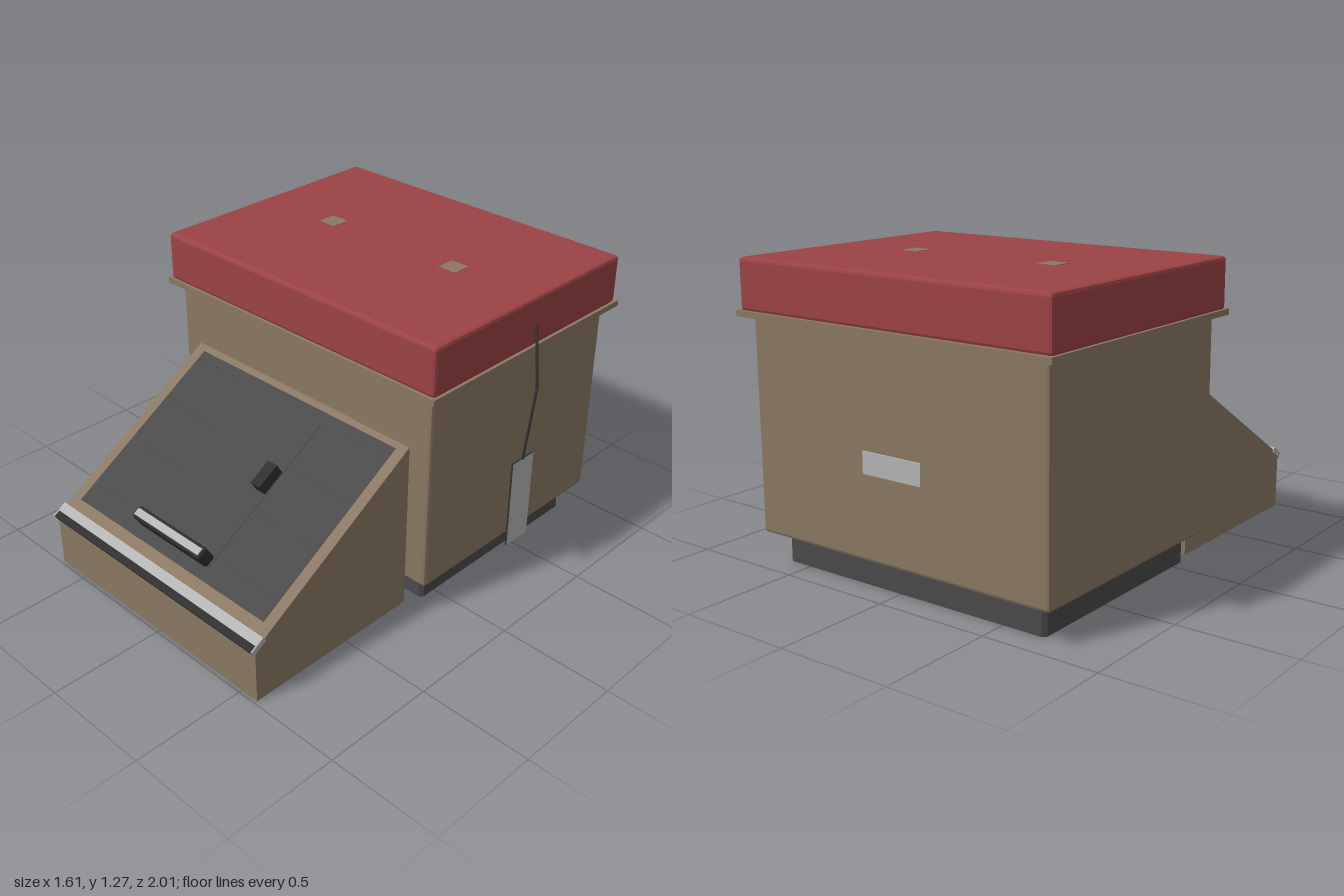
import * as THREE from 'three';
import { RoundedBoxGeometry } from 'three/addons/geometries/RoundedBoxGeometry.js';

export function createModel() {
  const model = new THREE.Group();
  model.name = 'roofHousing';
  const material = (name, color, side = THREE.FrontSide) => {
    const m = new THREE.MeshStandardMaterial({ color, side });
    m.name = name;
    return m;
  };
  const tan = material('tan', 0x8a7863);
  const red = material('red', 0x9c4345);
  const charcoal = material('charcoal', 0x4a4a4a);
  const black = material('black', 0x303030);
  const silver = material('silver', 0xb4b4b4);

  const add = (parent, name, geometry, mat) => {
    const mesh = new THREE.Mesh(geometry, mat);
    mesh.name = name;
    parent.add(mesh);
    return mesh;
  };
  // Box given by its limits on each axis, with an optional bevel
  const box = (parent, name, mat, [x0, x1], [y0, y1], [z0, z1], bevel = 0) => {
    const size = [x1 - x0, y1 - y0, z1 - z0];
    const g = bevel ? new RoundedBoxGeometry(...size, 1, bevel) : new THREE.BoxGeometry(...size);
    if (bevel) g.computeVertexNormals();
    g.translate((x0 + x1) / 2, (y0 + y1) / 2, (z0 + z1) / 2);
    return add(parent, name, g, mat);
  };

  // Main housing, rim and lid
  box(model, 'body', tan, [-0.76, 0.69], [0.13, 1.035], [-0.95, 0.15], 0.014);
  box(model, 'rim', tan, [-0.805, 0.735], [1.03, 1.055], [-1, 0.195]);
  box(model, 'lid', red, [-0.795, 0.725], [1.05, 1.265], [-0.985, 0.185], 0.015);
  for (const x of [-0.38, 0.308]) {
    box(model, 'lidPad', tan, [x - 0.044, x + 0.044], [1.263, 1.267], [-0.45, -0.365]);
  }
  box(model, 'rearPlate', silver, [-0.18, 0.11], [0.485, 0.575], [-0.957, -0.949]);

  // Hollow plinth with a recessed floor
  const rect = (path, x0, x1, y0, y1, c) => {
    const pts = [[x0 + c, y0], [x1 - c, y0], [x1, y0 + c], [x1, y1 - c],
      [x1 - c, y1], [x0 + c, y1], [x0, y1 - c], [x0, y0 + c]];
    return path.setFromPoints(pts.map(([x, y]) => new THREE.Vector2(x, y)));
  };
  const ring = rect(new THREE.Shape(), -0.69, 0.62, -0.08, 0.88, 0.015);
  ring.holes.push(rect(new THREE.Path(), -0.64, 0.57, -0.03, 0.83, 0.01));
  const ringGeo = new THREE.ExtrudeGeometry(ring, { depth: 0.14, bevelEnabled: false });
  add(model, 'plinth', ringGeo.rotateX(-Math.PI / 2), charcoal);
  box(model, 'plinthFloor', charcoal, [-0.66, 0.59], [0.115, 0.135], [-0.85, 0.05]);

  // Sloped hood: two cheeks, front wall and deck, open underneath
  const hood = new THREE.Group();
  hood.name = 'slopedHood';
  model.add(hood);
  const [left, right, top, front] = [-0.66, 0.585, 0.765, 0.985];
  const cheek = new THREE.Shape([[-0.15, 0], [-0.15, top], [-front, 0.25], [-front, 0]]
    .map(([x, y]) => new THREE.Vector2(x, y)));
  for (const x of [left, right - 0.02]) {
    const g = new THREE.ExtrudeGeometry(cheek, { depth: 0.02, bevelEnabled: false });
    g.rotateY(Math.PI / 2).translate(x, 0, 0);
    add(hood, 'hoodCheek', g, tan);
  }
  box(hood, 'hoodFront', tan, [left + 0.02, right - 0.02], [0, 0.245], [front - 0.02, front]);

  // Deck frame: local y is off the slope, local z runs down it
  const deck = new THREE.Group();
  deck.name = 'deck';
  deck.position.set(0, top, 0.15);
  deck.rotation.x = Math.atan2(top - 0.25, front - 0.15);
  hood.add(deck);
  box(deck, 'deckPanel', tan, [left + 0.02, right - 0.02], [-0.02, 0], [0, 0.97]);
  box(deck, 'darkPanel', charcoal, [-0.61, 0.535], [-0.002, 0.002], [0.029, 0.876]);
  box(deck, 'door', charcoal, [-0.24, 0.17], [0, 0.004], [0.086, 0.82]);
  for (const [x0, x1] of [[-0.6, -0.295], [0.225, 0.52]]) {
    for (const s of [0.067, 0.305, 0.534, 0.772]) {
      box(deck, 'panelSeam', charcoal, [x0, x1], [0, 0.003], [s - 0.002, s + 0.002]);
    }
  }
  box(deck, 'latch', black, [0.128, 0.18], [0.021, 0.076], [0.342, 0.456]);
  box(deck, 'handle', black, [-0.24, 0.175], [0.013, 0.098], [0.772, 0.828], 0.012);
  box(deck, 'handleTrim', silver, [-0.23, 0.165], [0.094, 0.1], [0.785, 0.817]);

  // Lower edge trim: bright strip, dark strip and bright end caps
  box(deck, 'edgeTrim', silver, [left, right], [-0.01, 0.013], [0.926, 0.968]);
  box(deck, 'edgeSeal', black, [left, right], [-0.015, 0.011], [0.968, 0.999]);
  box(deck, 'sealUnderside', black, [left + 0.02, right - 0.02], [-0.024, -0.019], [0.925, 0.965]);
  for (const x of [left, right]) {
    box(deck, 'trimEnd', silver, [x - 0.003, x + 0.003], [-0.012, 0.013], [0.926, 0.999]);
  }

  // Hanging cord with its tag
  const cord = [[0.722, 1.145, -0.437], [0.797, 0.9, -0.367], [0.783, 0.58, -0.332]]
    .map((p) => new THREE.Vector3(...p));
  for (let i = 0; i < 2; i++) {
    const path = new THREE.LineCurve3(cord[i], cord[i + 1]);
    add(model, 'cord', new THREE.TubeGeometry(path, 1, 0.006, 6), black);
  }
  box(model, 'tag', [silver, silver, black, black, black, black],
    [0.778, 0.787], [0.18, 0.585], [-0.4, -0.265]);

  return model;
}
